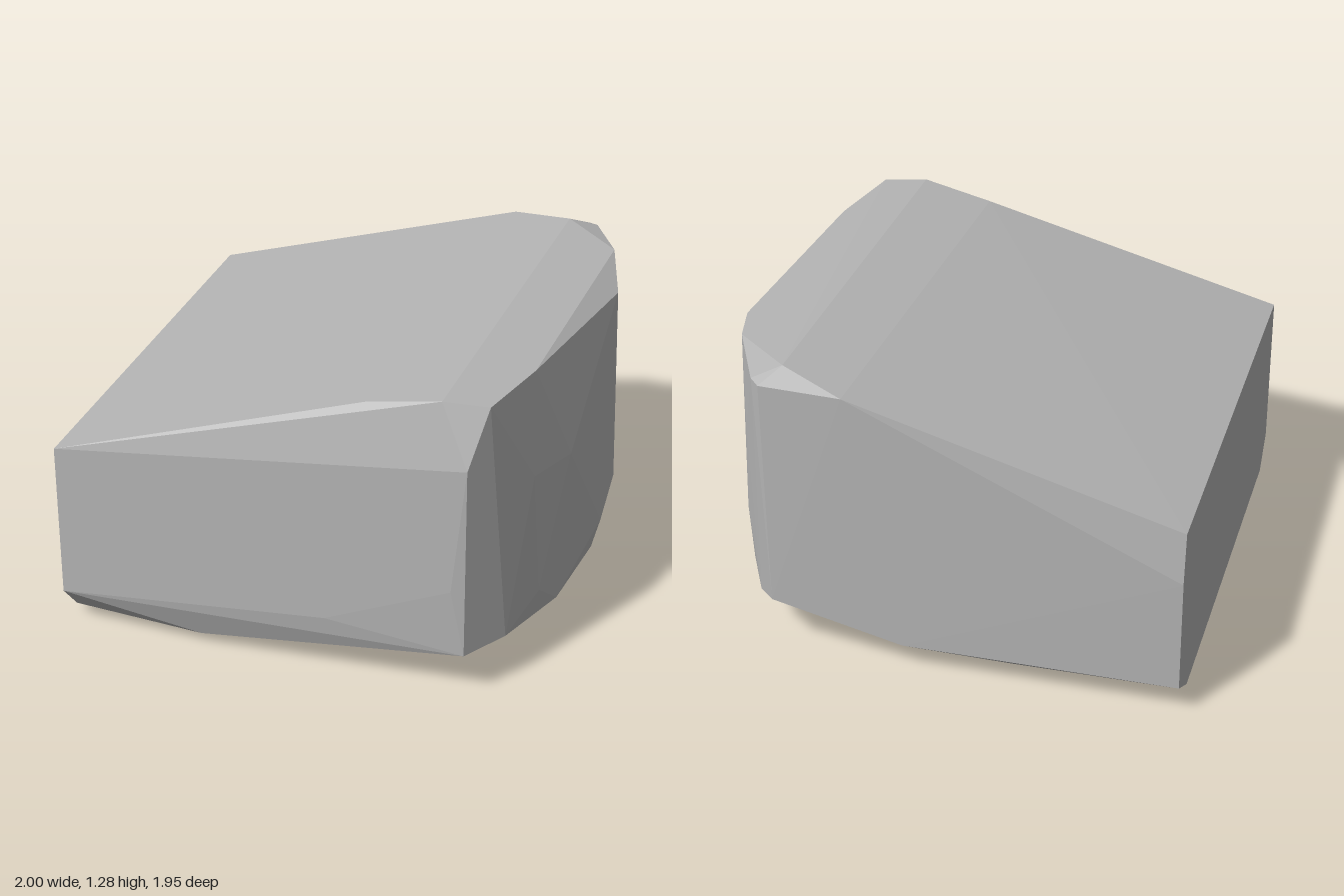
import * as THREE from 'three';
import { ConvexGeometry } from 'three/addons/geometries/ConvexGeometry.js';

export function createModel() {
  const group = new THREE.Group();
  group.name = 'rock';
  const stone = new THREE.MeshStandardMaterial({ color: 0xb4b4b4, flatShading: true });
  stone.name = 'stone grey';

  // Flat cut end at -x
  const cutEnd = [
    [-1, 0.835, 0.97], [-1, 0.17, 0.975], [-1, 0.04, 0.86], [-1, 0.03, -0.8],
    [-1, 0.13, -0.97], [-1, 0.62, -0.975], [-1, 0.835, -0.95],
  ];
  // Sloping top, rising to a short ridge
  const top = [
    [0.28, 1.22, 0.88], [0.58, 1.28, 0.9], [0.76, 1.27, 0.87], [0.84, 1.265, 0.52],
    [0.87, 1.265, -0.65], [0.62, 1.28, -0.87], [0.73, 1.24, -0.93], [0.69, 1.23, -0.965],
    [0.35, 1.23, -0.978], [0.955, 1.205, -0.37],
  ];
  // Slightly bulging front and back
  const sides = [
    [0.7, 1.03, 0.96], [0.645, 0.49, 0.965], [0.13, 0.27, 0.972], [0.7, 0.2, 0.955],
    [0.68, 0.24, -0.965], [0.13, 0.12, -0.972],
  ];
  // Rounded end at +x
  const roundEnd = [
    [0.88, 0.87, 0.64], [0.955, 0.835, 0.36], [0.9, 0.32, 0.58], [1, 0.305, -0.05],
    [0.965, 0.305, -0.43], [0.92, 0.88, -0.52], [0.85, 0.52, -0.74], [0.8, 0.97, -0.83],
    [0.82, 0.21, 0.78], [0.93, 0.18, 0.4], [0.965, 0.165, -0.05], [0.9, 0.16, -0.58],
    [0.77, 0.2, -0.85],
  ];
  // Underside
  const base = [
    [-0.42, 0.05, 0.92], [-0.4, 0.026, 0.52], [-0.78, 0.012, 0.52],
    [-0.78, 0, -0.77], [-0.3, 0.05, -0.88],
  ];

  const points = [...cutEnd, ...top, ...sides, ...roundEnd, ...base]
    .map((p) => new THREE.Vector3(...p));
  const body = new THREE.Mesh(new ConvexGeometry(points), stone);
  body.name = 'rockBody';
  group.add(body);
  return group;
}
